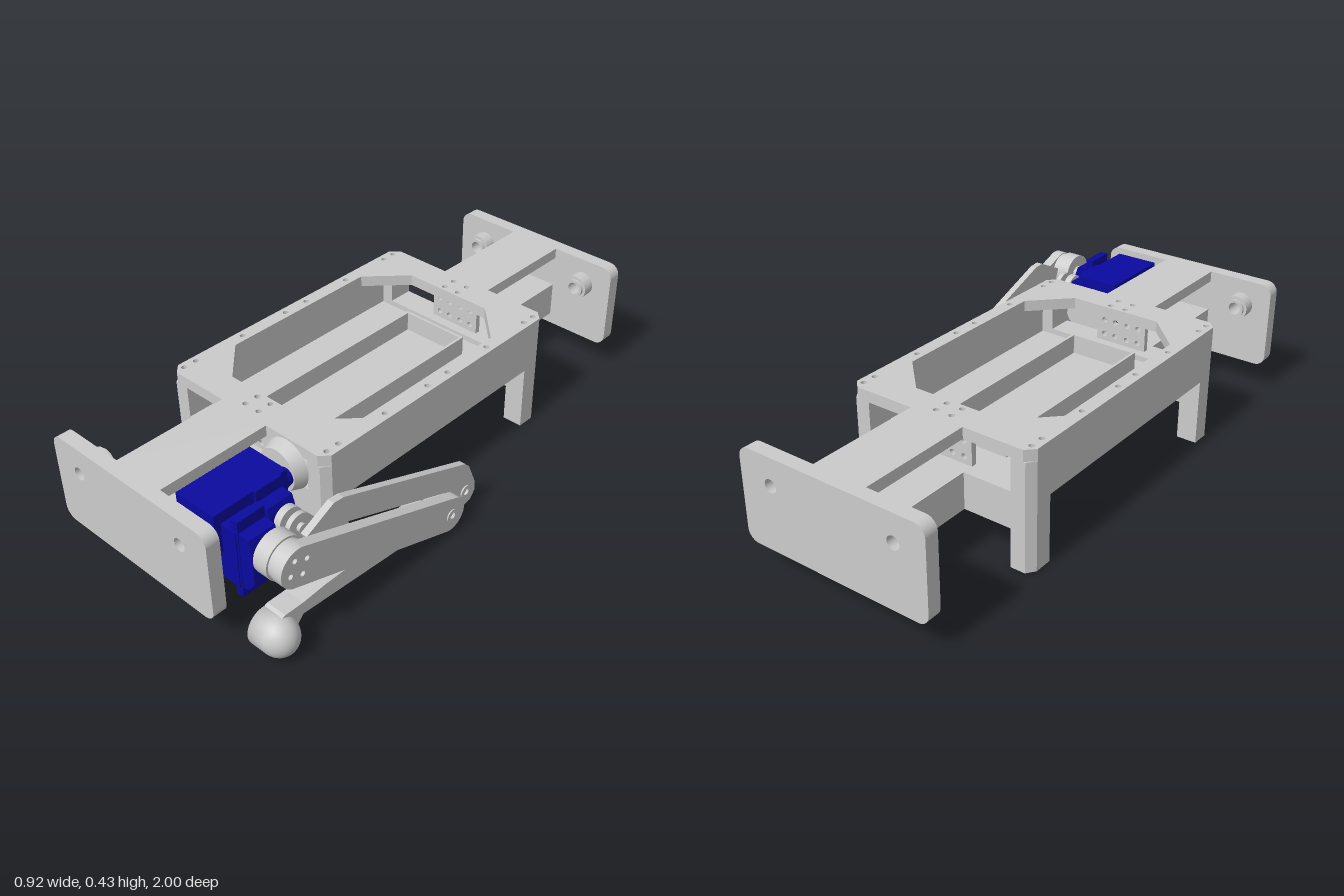
import * as THREE from 'three';

const GREY = new THREE.MeshStandardMaterial({ color: 0xcccccc });
const BLUE = new THREE.MeshStandardMaterial({ color: 0x0a0aa0 });
const CX = -0.11; // centre line of the chassis

export function createModel() {
  const root = new THREE.Group();
  const add = (name, geo, mat = GREY) => {
    const m = new THREE.Mesh(geo, mat);
    m.name = name;
    root.add(m);
    return m;
  };
  // box given by its limits
  const box = (name, x0, x1, y0, y1, z0, z1, mat) =>
    add(name, new THREE.BoxGeometry(x1 - x0, y1 - y0, z1 - z0)
      .translate((x0 + x1) / 2, (y0 + y1) / 2, (z0 + z1) / 2), mat);
  const poly = pts => new THREE.Shape(pts.map(p => new THREE.Vector2(p[0], p[1])));
  const hole = (shape, x, y, r) => shape.holes.push(new THREE.Path().absarc(x, y, r, 0, Math.PI * 2, true));
  const extrude = (shape, depth) =>
    new THREE.ExtrudeGeometry(shape, { depth, bevelEnabled: false, curveSegments: 16 });
  // rectangle with cut corners
  const cutRect = (cx, cy, w, h, c) => [[cx - w + c, cy - h], [cx + w - c, cy - h], [cx + w, cy - h + c],
    [cx + w, cy + h - c], [cx + w - c, cy + h], [cx - w + c, cy + h], [cx - w, cy + h - c], [cx - w, cy - h + c]];
  // side profile in (z, y), extruded from x0 to x1
  const side = (name, shape, x0, x1, mat) =>
    add(name, extrude(shape, x1 - x0).rotateY(Math.PI / 2).translate(x0, 0, 0), mat);
  const zy = pts => poly(pts.map(([z, y]) => [-z, y]));
  // plan profile in (x, -z), extruded from y0 to y1
  const plan = (name, shape, y0, y1, mat) =>
    add(name, extrude(shape, y1 - y0).rotateX(-Math.PI / 2).translate(0, y0, 0), mat);
  // cylinder along x or z
  const rod = (name, axis, r0, r1, a, b, u, y, mat, n = 32) => {
    const g = new THREE.CylinderGeometry(r1, r0, b - a, n);
    if (axis === 'x') g.rotateZ(-Math.PI / 2).translate((a + b) / 2, y, u);
    else g.rotateX(Math.PI / 2).translate(u, y, (a + b) / 2);
    return add(name, g, mat);
  };
  // round-ended bar between two points (z, y)
  const capsule = (za, ya, zb, yb, ra, rb) => {
    const t = Math.atan2(yb - ya, za - zb), s = new THREE.Shape();
    s.absarc(-zb, yb, rb, t - Math.PI / 2, t + Math.PI / 2, false);
    s.absarc(-za, ya, ra, t + Math.PI / 2, t + Math.PI * 1.5, false);
    return s;
  };

  // deck with octagonal opening and screw holes
  const deck = poly(cutRect(CX, 0, 0.35, 0.54, 0.03));
  deck.holes.push(new THREE.Path(poly(cutRect(CX, 0, 0.3, 0.435, 0.13)).getPoints().reverse()));
  for (const s of [-1, 1]) {
    for (const z of [0.05, 0.25, 0.455, 0.505])
      for (const x of [-0.325, 0.325]) hole(deck, CX + x, s * z, 0.01);
    for (const z of [0.455, 0.505])
      for (const x of [-0.03, 0.03]) hole(deck, CX + x, s * z, 0.01);
  }
  plan('deck', deck, 0.385, 0.425);

  // side walls, floor and battery tray
  box('sideWall', CX - 0.35, CX - 0.32, 0.24, 0.385, -0.45, 0.45);
  box('sideWall', CX + 0.32, CX + 0.35, 0.24, 0.385, -0.45, 0.45);
  box('floor', CX - 0.35, CX + 0.35, 0.24, 0.25, -0.45, 0.45);
  const tray = poly(cutRect(CX, 0, 0.13, 0.37, 0.001));
  tray.holes.push(new THREE.Path(poly(cutRect(CX, 0, 0.12, 0.36, 0.001)).getPoints().reverse()));
  plan('batteryTray', tray, 0.25, 0.32);

  for (const s of [-1, 1]) {
    const lim = (a, b) => s > 0 ? [a, b] : [-b, -a];
    // corner legs
    for (const k of [-1, 1]) {
      const x = CX + k * 0.35, xi = CX + k * 0.275;
      const pts = [[xi, -s * 0.445], [x, -s * 0.445], [x, -s * 0.51], [x - k * 0.022, -s * 0.54], [xi, -s * 0.54]];
      const legShape = poly(pts);
      for (const d of [0.47, 0.505]) hole(legShape, CX + k * 0.312, -s * d, 0.009);
      plan('cornerLeg', legShape, 0, 0.385);
    }
    // end crossbar, spine beams and drilled post
    box('crossbar', CX - 0.28, CX + 0.28, 0.14, 0.27, ...lim(0.445, 0.54));
    box('upperBeam', CX - 0.1, CX + 0.1, 0.385, 0.425, ...lim(0.53, 0.96));
    const [z0, z1] = lim(0.53, 0.96);
    add('lowerBeam', extrude(poly([[CX - 0.06, 0.1], [CX + 0.06, 0.1], [CX + 0.1, 0.14], [CX + 0.1, 0.27],
      [CX - 0.1, 0.27], [CX - 0.1, 0.14]]), z1 - z0).translate(0, 0, z0));
    const post = poly([[CX - 0.1, 0.25], [CX + 0.1, 0.25], [CX + 0.1, 0.385], [CX - 0.1, 0.385]]);
    for (const x of [-0.07, -0.025, 0.025, 0.07])
      for (const y of [0.295, 0.35]) hole(post, CX + x, y, 0.01);
    add('drilledPost', extrude(post, 0.02).translate(0, 0, s * 0.49 - 0.01));

    // rounded end plate with two pivot holes
    const p = new THREE.Shape(), r = 0.04, x0 = CX - 0.35, x1 = CX + 0.35, y0 = 0.1, y1 = 0.425;
    p.absarc(x1 - r, y0 + r, r, -Math.PI / 2, 0);
    p.absarc(x1 - r, y1 - r, r, 0, Math.PI / 2);
    p.absarc(x0 + r, y1 - r, r, Math.PI / 2, Math.PI);
    p.absarc(x0 + r, y0 + r, r, Math.PI, Math.PI * 1.5);
    for (const x of [-0.345, 0.12]) {
      hole(p, x, 0.328, 0.023);
      for (const [ro, a, b] of [[0.045, 0.905, 0.95], [0.034, 0.895, 0.905]]) {
        const ring = new THREE.Shape().absarc(x, 0.328, ro, 0, Math.PI * 2);
        hole(ring, x, 0.328, 0.023);
        add('pivotBoss', extrude(ring, b - a).translate(0, 0, lim(a, b)[0]));
      }
    }
    add('endPlate', extrude(p, 0.05).translate(0, 0, lim(0.95, 1)[0]));
  }

  // hip joint on the chassis front and servo bracket
  rod('hipSocket', 'z', 0.09, 0.075, 0.54, 0.585, 0.08, 0.328);
  const strip = poly([[0.02, -0.62], [0.09, -0.62], [0.09, -0.93], [0.02, -0.93]]);
  for (const z of [0.66, 0.73, 0.8, 0.87]) hole(strip, 0.055, -z, 0.01);
  plan('servoBracket', strip, 0.13, 0.145);

  // servo that rolls the hip
  box('hipServo', 0.02, 0.18, 0.27, 0.415, 0.635, 0.92, BLUE);
  rod('hipServoHorn', 'z', 0.03, 0.04, 0.585, 0.635, 0.12, 0.328, BLUE);
  // two leg servos facing outward: body, mounting tabs, tapered gearbox
  for (const [z, x] of [[0.84, 0.24], [0.715, 0.18]]) {
    box('legServo', 0.06, x, 0.165, 0.375, z - 0.055, z + 0.055, BLUE);
    box('servoTabs', x - 0.02, x + 0.008, 0.13, 0.415, z - 0.052, z + 0.052, BLUE);
    add('servoGearbox', extrude(poly([[x, 0.165], [x + 0.035, 0.175], [x + 0.06, 0.21], [x + 0.06, 0.34],
      [x + 0.05, 0.372], [x, 0.375]]), 0.1).translate(0, 0, z - 0.05), BLUE);
    rod('servoShaft', 'x', 0.02, 0.02, x + 0.06, x + 0.085, z, 0.325);
  }
  // lever driven by the inner servo
  side('servoLever', capsule(0.715, 0.325, 0.64, 0.21, 0.045, 0.035), 0.25, 0.275);
  side('servoLever', capsule(0.715, 0.325, 0.6, 0.2, 0.045, 0.035), 0.295, 0.312);
  rod('leverPin', 'x', 0.015, 0.015, 0.25, 0.325, 0.715, 0.325);

  // upper leg: hub, outer arm with bolts and pins
  rod('hipHub', 'x', 0.072, 0.072, 0.322, 0.375, 0.835, 0.325);
  rod('hipAxle', 'x', 0.03, 0.03, 0.3, 0.4, 0.835, 0.325);
  const arm = capsule(0.835, 0.325, 0.17, 0.085, 0.068, 0.062);
  hole(arm, -0.17, 0.085, 0.012);
  for (let i = 0; i < 4; i++) {
    const a = i * Math.PI / 2 + 0.4;
    hole(arm, -0.835 + 0.035 * Math.cos(a), 0.325 + 0.035 * Math.sin(a), 0.009);
  }
  side('outerArm', arm, 0.393, 0.43);
  rod('hubSpacer', 'x', 0.065, 0.065, 0.37, 0.394, 0.835, 0.325);

  // bent linkage bar beside the arm
  const link = zy([[0.76, 0.36], [0.65, 0.415], [0.61, 0.412], [0.055, 0.2], [0.035, 0.18], [0, 0.095],
    [0, 0.06], [0.02, 0.033], [0.05, 0.025], [0.085, 0.04], [0.1, 0.075], [0.125, 0.13], [0.62, 0.32], [0.74, 0.31]]);
  hole(link, -0.05, 0.08, 0.014);
  side('linkageBar', link, 0.362, 0.386);

  // lower leg running back to the foot
  side('lowerLeg', zy([[0.88, 0.12], [0.8, 0.14], [0.63, 0.155], [0.25, 0.14], [0.07, 0.135], [0.02, 0.12],
    [-0.005, 0.08], [0.01, 0.035], [0.06, 0.012], [0.2, 0.01], [0.5, 0.055], [0.8, 0.1], [0.87, 0.06]]), 0.325, 0.352);
  side('lowerLegRib', capsule(0.86, 0.11, 0.17, 0.085, 0.022, 0.05), 0.352, 0.388);
  for (const z of [0.17, 0.05]) {
    rod('kneePin', 'x', 0.011, 0.011, 0.33, z > 0.1 ? 0.426 : 0.383, z, 0.083);
    const collar = new THREE.Shape().absarc(-z, 0.083, 0.023, 0, Math.PI * 2);
    hole(collar, -z, 0.083, 0.012);
    side('kneeCollar', collar, 0.34, z > 0.1 ? 0.434 : 0.391);
  }

  // domed foot, flat on its inner side
  const dome = [new THREE.Vector2(0, 0.325), new THREE.Vector2(0.063, 0.325)];
  for (let i = 0; i <= 10; i++) {
    const a = i / 10 * Math.PI / 2;
    dome.push(new THREE.Vector2(0.063 * Math.cos(a), 0.388 + 0.067 * Math.sin(a)));
  }
  const foot = new THREE.LatheGeometry(dome, 32).rotateZ(-Math.PI / 2).scale(1, 1.08, 1).translate(0, 0.073, 0.89);
  add('foot', foot, new THREE.MeshStandardMaterial({ color: 0xcccccc, side: THREE.DoubleSide }));
  side('ankle', zy([[0.93, 0.12], [0.87, 0.145], [0.8, 0.143], [0.7, 0.15], [0.7, 0.095], [0.8, 0.1], [0.86, 0.03]]),
    0.325, 0.4);
  return root;
}
